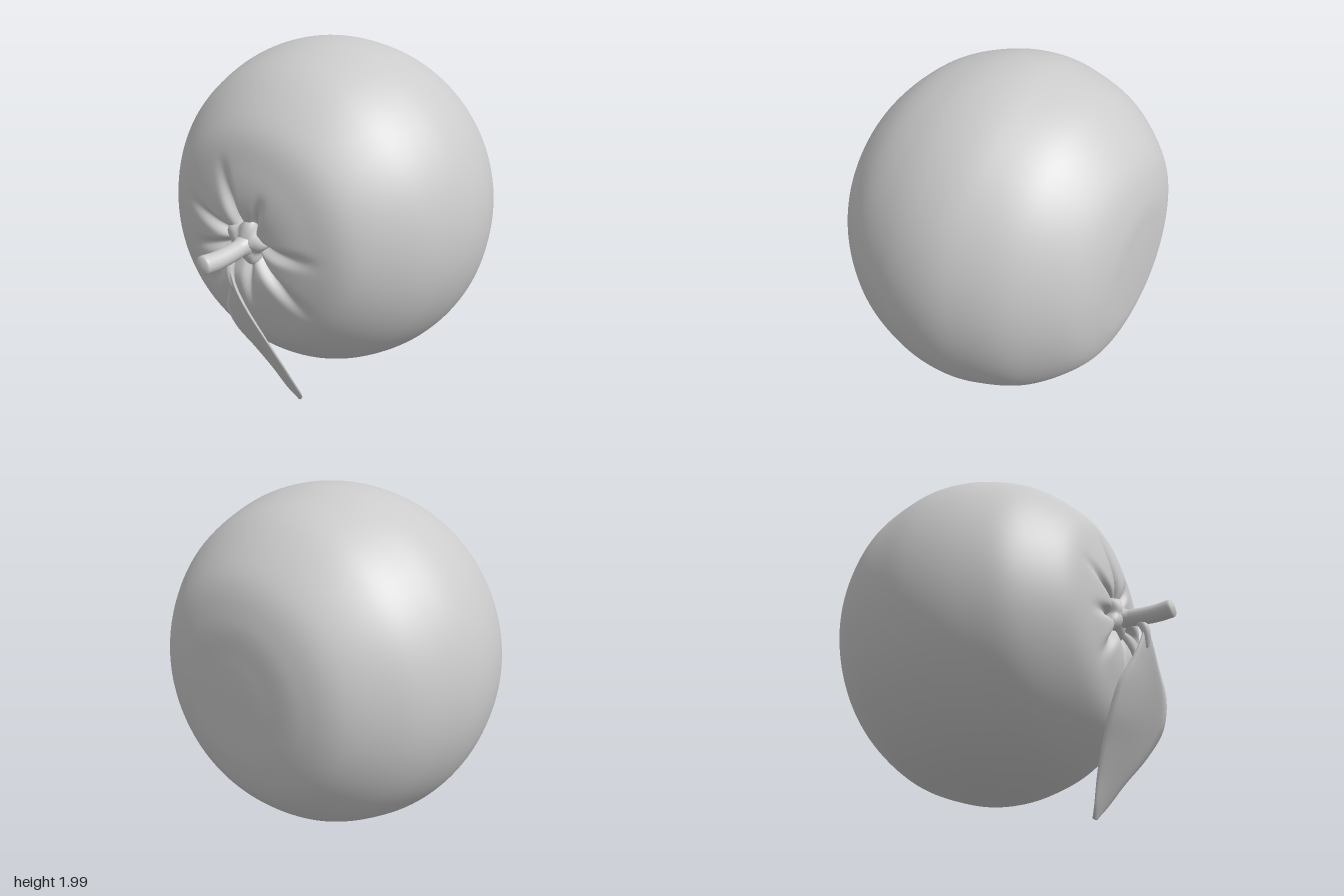
import * as THREE from 'three';
import { mergeVertices } from 'three/addons/utils/BufferGeometryUtils.js';

const material = new THREE.MeshStandardMaterial({ color: 0xcccccc });
const V = (x, y, z) => new THREE.Vector3(x, y, z);

function addMesh(group, name, geometry) {
  const mesh = new THREE.Mesh(geometry, material);
  mesh.name = name;
  group.add(mesh);
  return mesh;
}

// Weld seams and recompute smooth normals
function weld(geometry) {
  geometry.deleteAttribute('uv');
  geometry.deleteAttribute('normal');
  const welded = mergeVertices(geometry, 1e-5);
  welded.computeVertexNormals();
  return welded;
}

// Creases radiating from the stem: [angle in degrees, reach, depth]
const creases = [
  [113, 0.5, 0.055], [66, 0.33, 0.045], [0, 0.48, 0.05], [-40, 0.54, 0.06],
  [-85, 0.4, 0.04], [228, 0.5, 0.05], [195, 0.46, 0.05], [160, 0.52, 0.045],
];

function fruitGeometry() {
  const profile = new THREE.SplineCurve([
    [0, -0.925], [0.2, -0.92], [0.4, -0.9], [0.6, -0.815], [0.8, -0.6], [0.9, -0.36],
    [0.93, -0.16], [0.9, 0.06], [0.8, 0.3], [0.6, 0.52], [0.4, 0.605], [0.22, 0.635],
    [0.1, 0.605], [0, 0.56],
  ].map(([r, z]) => new THREE.Vector2(r, z)));
  const points = profile.getSpacedPoints(100);
  points[0].x = points[100].x = 0;
  const geometry = new THREE.LatheGeometry(points, 192);
  geometry.rotateX(Math.PI / 2);

  const pos = geometry.attributes.position;
  for (let i = 0; i < pos.count; i++) {
    let x = pos.getX(i), y = pos.getY(i), z = pos.getZ(i);
    const r = Math.hypot(x, y);
    const front = THREE.MathUtils.smoothstep(z, 0.2, 0.6);
    if (z > 0.3 && r > 0.001) {
      for (const [degrees, reach, depth] of creases) {
        const a = degrees * Math.PI / 180;
        const along = x * Math.cos(a) + y * Math.sin(a);
        if (along <= 0) continue;
        const across = y * Math.cos(a) - x * Math.sin(a);
        const fade = THREE.MathUtils.smoothstep(r, 0.03, 0.12)
          * (1 - THREE.MathUtils.smoothstep(r, 0.14, reach));
        const width = 0.016 + 0.05 * r;
        z -= depth * fade * Math.exp(-((across / width) ** 2));
      }
    }
    // The front leans slightly and its dimple sits off centre
    z += 0.04 * x * front;
    x -= 0.03 * front * (1 - Math.min(1, r));
    pos.setXYZ(i, x, y * 1.011, z);
  }
  return weld(geometry);
}

// Tube whose radius follows a rule, with rounded closed ends
function taperedTube(points, radius, rings = 32, sides = 16) {
  const curve = new THREE.CatmullRomCurve3(points);
  const geometry = new THREE.TubeGeometry(curve, rings, 1, sides);
  const pos = geometry.attributes.position;
  for (let i = 0; i < pos.count; i++) {
    const t = Math.floor(i / (sides + 1)) / rings;
    const centre = curve.getPointAt(t);
    const p = V().fromBufferAttribute(pos, i).sub(centre).multiplyScalar(radius(t)).add(centre);
    pos.setXYZ(i, p.x, p.y, p.z);
  }
  return weld(geometry);
}

// Low five-lobed collar under the stem
function calyxGeometry() {
  const geometry = new THREE.LatheGeometry([
    [0.115, 0.55], [0.115, 0.595], [0.1, 0.622], [0.07, 0.632], [0.05, 0.645], [0, 0.65],
  ].map(([r, z]) => new THREE.Vector2(r, z)), 50);
  geometry.rotateX(Math.PI / 2);
  const pos = geometry.attributes.position;
  for (let i = 0; i < pos.count; i++) {
    const x = pos.getX(i), y = pos.getY(i);
    const k = 1 + 0.17 * Math.cos(5 * Math.atan2(y, x) - 0.6);
    pos.setXY(i, x * k, y * k);
  }
  return weld(geometry);
}

// Thin closed leaf: loops swept between a left and a right edge curve
function leafGeometry() {
  const left = new THREE.CatmullRomCurve3([
    V(-0.035, 0.98, 0.745), V(-0.05, 0.9, 0.725), V(-0.09, 0.8, 0.69), V(-0.165, 0.65, 0.63),
    V(-0.16, 0.5, 0.57), V(-0.09, 0.35, 0.5), V(-0.01, 0.2, 0.44), V(0.055, 0.08, 0.4),
    V(0.115, 0.012, 0.37),
  ]);
  const right = new THREE.CatmullRomCurve3([
    V(-0.005, 0.98, 0.765), V(0.03, 0.9, 0.775), V(0.1, 0.8, 0.78), V(0.235, 0.65, 0.78),
    V(0.3, 0.5, 0.735), V(0.28, 0.35, 0.64), V(0.225, 0.2, 0.52), V(0.19, 0.08, 0.43),
    V(0.145, 0.012, 0.38),
  ]);
  const rows = 48, cols = 10, loop = cols * 2;
  const vertices = [], index = [];
  for (let i = 0; i <= rows; i++) {
    const t = i / rows, a = left.getPoint(t), b = right.getPoint(t);
    const down = left.getTangent(t).add(right.getTangent(t)).normalize();
    const normal = down.cross(b.clone().sub(a)).normalize();
    const fold = 0.12 * a.distanceTo(b);
    for (let j = 0; j < loop; j++) {
      const s = j <= cols ? j / cols : (loop - j) / cols;
      const face = j <= cols ? 1 : -1;
      const bow = Math.sin(Math.PI * s);
      const p = a.clone().lerp(b, s).addScaledVector(normal, face * 0.011 * Math.sqrt(Math.max(0, bow)) - fold * bow * 0.4);
      vertices.push(p.x, p.y, p.z);
      if (i < rows) {
        const n = (j + 1) % loop, p0 = i * loop + j, p1 = i * loop + n;
        index.push(p0, p0 + loop, p1, p1, p0 + loop, p1 + loop);
      }
    }
  }
  // Close both ends
  for (let j = 1; j < loop - 1; j++) {
    const e = rows * loop;
    index.push(0, j, j + 1, e, e + j + 1, e + j);
  }
  const geometry = new THREE.BufferGeometry();
  geometry.setAttribute('position', new THREE.Float32BufferAttribute(vertices, 3));
  geometry.setIndex(index);
  geometry.computeVertexNormals();
  return geometry;
}

export function createModel() {
  const group = new THREE.Group();
  group.name = 'fruit';

  addMesh(group, 'fruitBody', fruitGeometry()).position.y = 1.06;
  addMesh(group, 'calyx', calyxGeometry()).position.set(-0.035, 1.065, 0);

  // Stem flares at the base and ends in a blunt rounded tip
  addMesh(group, 'stem', taperedTube(
    [V(-0.03, 1.06, 0.58), V(-0.03, 1.05, 0.7), V(-0.04, 1.045, 0.82), V(-0.056, 1.053, 0.927)],
    (t) => (0.045 + 0.03 * Math.max(0, 1 - t * 4) + 0.006 * t)
      * Math.sqrt(Math.max(0, 1 - Math.max(0, (t - 0.9) / 0.1) ** 4)),
  ));

  // Short stalk joining the leaf to the stem
  addMesh(group, 'leafStalk', taperedTube(
    [V(-0.03, 1.04, 0.71), V(-0.025, 0.99, 0.745), V(-0.015, 0.93, 0.755), V(-0.005, 0.86, 0.745)],
    (t) => 0.026 * Math.sqrt(1 - t * t) + 0.001, 16, 10,
  ));

  const leaf = addMesh(group, 'leaf', leafGeometry());
  leaf.material = material.clone();
  leaf.material.side = THREE.DoubleSide;
  return group;
}
